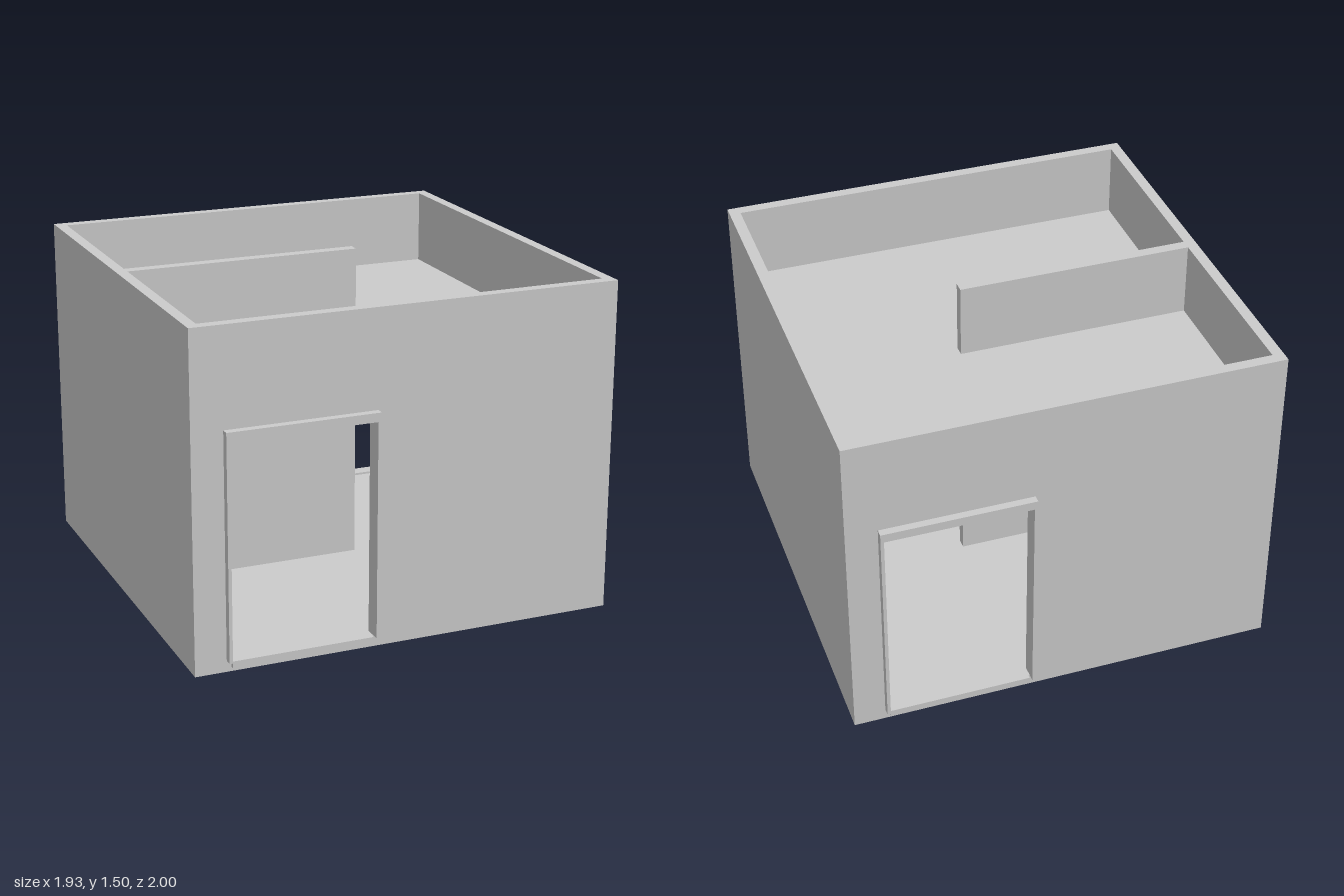
import * as THREE from 'three';

const W = 0.965;      // half width of the building
const T = 0.05;       // wall thickness
const H = 1.5;        // wall height
const IN = W - T;     // half width of the interior

const material = new THREE.MeshStandardMaterial({ color: 0xcccccc, flatShading: true });

function add(parent, name, geometry) {
  const mesh = new THREE.Mesh(geometry, material);
  mesh.name = name;
  parent.add(mesh);
  return mesh;
}

// Box given by its lower and upper limits on each axis
function box(parent, name, [x0, x1], [y0, y1], [z0, z1]) {
  const g = new THREE.BoxGeometry(x1 - x0, y1 - y0, z1 - z0);
  g.translate((x0 + x1) / 2, (y0 + y1) / 2, (z0 + z1) / 2);
  return add(parent, name, g);
}

// End wall with its doorway, frame and sill, facing +z
function doorWall(name) {
  const group = new THREE.Group();
  group.name = name;
  const L = -0.825, R = -0.145;        // outer edges of the frame
  const jamb = 0.015, sillInset = 0.02;
  const sillY = [0.02, 0.05], topY = 1.06, headY = 1.02;

  const wall = new THREE.Shape([[-W, 0], [W, 0], [W, H], [-W, H]].map(p => new THREE.Vector2(...p)));
  wall.holes.push(new THREE.Path([
    [L + sillInset, sillY[0]], [L + sillInset, sillY[1]], [L, sillY[1]], [L, topY],
    [R, topY], [R, sillY[1]], [R - sillInset, sillY[1]], [R - sillInset, sillY[0]],
  ].map(p => new THREE.Vector2(...p))));
  const wallGeometry = new THREE.ExtrudeGeometry(wall, { depth: T, bevelEnabled: false });
  add(group, 'wall', wallGeometry.translate(0, 0, IN));

  // Jambs and header in one arch-shaped piece
  const frame = new THREE.Shape([
    [L, sillY[1]], [L + jamb, sillY[1]], [L + jamb, headY], [R - jamb, headY],
    [R - jamb, sillY[1]], [R, sillY[1]], [R, topY], [L, topY],
  ].map(p => new THREE.Vector2(...p)));
  const frameGeometry = new THREE.ExtrudeGeometry(frame, { depth: 1 - IN, bevelEnabled: false });
  add(group, 'doorFrame', frameGeometry.translate(0, 0, IN));

  box(group, 'doorSill', [L + sillInset, R - sillInset], sillY, [IN, 0.982]);
  return group;
}

export function createModel() {
  const model = new THREE.Group();
  model.name = 'house';

  // Front and back walls, the back one turned half round
  const back = doorWall('backWall');
  back.rotation.y = Math.PI;
  model.add(doorWall('frontWall'), back);

  // Side walls
  box(model, 'leftWall', [IN, W], [0, H], [-IN, IN]);
  box(model, 'rightWall', [-W, -IN], [0, H], [-IN, IN]);

  // Floor and the ceiling slab set below the wall tops
  box(model, 'floor', [-IN, IN], [0, 0.04], [-IN, IN]);
  box(model, 'ceiling', [-IN, IN], [1.12, 1.16], [-IN, IN]);

  // Partition rising through the ceiling
  box(model, 'partition', [-IN, 0.16], [0.04, H], [-T / 2, T / 2]);

  return model;
}
